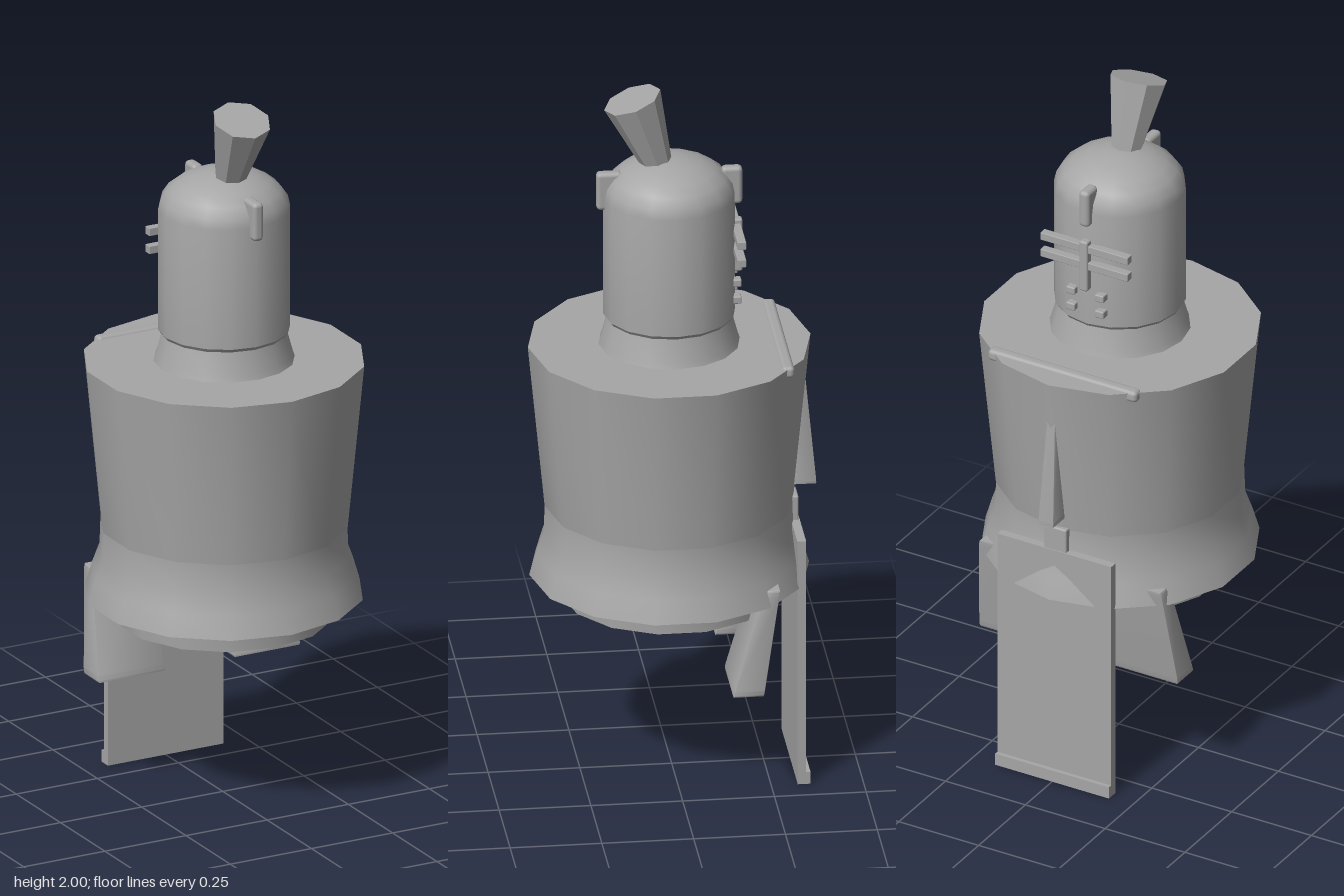
import * as THREE from 'three';
import { RoundedBoxGeometry } from 'three/addons/geometries/RoundedBoxGeometry.js';
import { toCreasedNormals } from 'three/addons/utils/BufferGeometryUtils.js';

const steel = new THREE.MeshStandardMaterial({ color: 0xa6a6a6 });
steel.name = 'steel';
const plumeSteel = steel.clone();
plumeSteel.name = 'facetedSteel';
plumeSteel.flatShading = true;

const SIDES = 14;
const AXIS_Z = 0.007;

export function createModel() {
  const model = new THREE.Group();
  model.name = 'armour';

  function add(name, geometry, x = 0, y = 0, z = 0, material = steel) {
    const mesh = new THREE.Mesh(geometry, material);
    mesh.name = name;
    mesh.position.set(x, y, z);
    model.add(mesh);
    return mesh;
  }

  // Turned part from [radius, height] pairs, listed bottom to top
  function turned(name, profile, sides = SIDES) {
    const points = profile.map(([r, y]) => new THREE.Vector2(r, y));
    return add(name, toCreasedNormals(new THREE.LatheGeometry(points, sides), 0.6), 0, 0, AXIS_Z);
  }

  // Rounded block given by its extents
  function block(name, [x0, x1], [y0, y1], [z0, z1], radius = 0.006) {
    const geometry = new RoundedBoxGeometry(x1 - x0, y1 - y0, z1 - z0, 2, radius);
    return add(name, geometry, (x0 + x1) / 2, (y0 + y1) / 2, (z0 + z1) / 2);
  }

  // Rounded block whose cross-section runs from a bottom to a top rectangle
  function tapered(name, y0, y1, bottom, top, radius) {
    const geometry = new RoundedBoxGeometry(1, y1 - y0, 1, 3, radius);
    const p = geometry.attributes.position;
    for (let i = 0; i < p.count; i++) {
      const t = p.getY(i) / (y1 - y0) + 0.5;
      const [xa, xb, za, zb] = bottom.map((v, k) => v + (top[k] - v) * t);
      p.setXYZ(i, xa + (xb - xa) * (p.getX(i) + 0.5), y0 + (y1 - y0) * t,
        za + (zb - za) * (p.getZ(i) + 0.5));
    }
    geometry.computeVertexNormals();
    return add(name, toCreasedNormals(geometry, 0.7));
  }

  // Body, flared skirt and lower ring
  turned('torso', [[0, 0.72], [0.333, 0.72], [0.385, 1.255], [0, 1.255]]);
  turned('skirt', [[0, 0.58], [0.381, 0.58], [0.362, 0.645], [0.342, 0.7], [0.339, 0.785], [0, 0.785]]);
  turned('lowerRing', [[0, 0.515], [0.295, 0.515], [0.298, 0.59], [0, 0.59]]);

  // Neck and helmet with a flattened dome
  turned('neck', [[0.194, 1.25], [0.187, 1.27], [0.168, 1.34]], 16);
  const helmet = [[0, 1.335], [0.173, 1.335], [0.18, 1.345], [0.18, 1.69]];
  for (let i = 1; i <= 6; i++) {
    const a = (i / 6) * Math.PI / 2;
    helmet.push([i === 6 ? 0 : 0.18 * Math.cos(a), 1.69 + 0.11 * Math.sin(a)]);
  }
  turned('helmet', helmet, 16);

  // Plume leaning towards the front
  const plume = add('plume', new THREE.CylinderGeometry(0.081, 0.042, 0.2, 8),
    0, 1.88, 0.074, plumeSteel);
  plume.rotation.x = 0.34;

  // Helmet clips, front and rear
  block('frontClip', [-0.016, 0.016], [1.655, 1.765], [0.135, 0.206], 0.012);
  block('rearClip', [-0.016, 0.016], [1.655, 1.765], [-0.192, -0.135], 0.012);

  // Visor bars and breathing studs
  block('upperVisorBar', [-0.137, 0.137], [1.574, 1.597], [-0.187, -0.163], 0.002);
  block('lowerVisorBar', [-0.137, 0.137], [1.522, 1.545], [-0.187, -0.163], 0.002);
  block('noseBar', [-0.013, 0.013], [1.455, 1.61], [-0.192, -0.163], 0.006);
  for (const x of [-0.045, 0.045]) {
    for (const y of [1.39, 1.44]) {
      block('stud', [x - 0.014, x + 0.014], [y - 0.011, y + 0.011], [-0.184, -0.15], 0.004);
    }
  }

  // Shoulder bar across the top edge
  block('shoulderBar', [-0.233, 0.233], [1.228, 1.262], [-0.308, -0.273], 0.012);

  // Ridge on the chest
  tapered('chestRidge', 0.82, 1.14, [-0.024, 0.024, -0.392, -0.32], [-0.012, 0.012, -0.362, -0.335], 0.02);

  // Hanging panel with a tab and a bottom lip
  add('panel', new THREE.BoxGeometry(0.356, 0.715, 0.024), 0, 0.3625, -0.333);
  add('panelLip', new THREE.BoxGeometry(0.356, 0.035, 0.035), 0, 0.0175, -0.3395);
  block('panelTab', [-0.035, 0.035], [0.7, 0.79], [-0.342, -0.31], 0.005);

  // Slanted thigh plates, mirrored
  tapered('leftThighPlate', 0.325, 0.625, [0.105, 0.312, -0.215, -0.13], [0.115, 0.285, -0.262, -0.215], 0.02);
  tapered('rightThighPlate', 0.325, 0.625, [-0.312, -0.105, -0.215, -0.13], [-0.285, -0.115, -0.262, -0.215], 0.02);

  return model;
}
